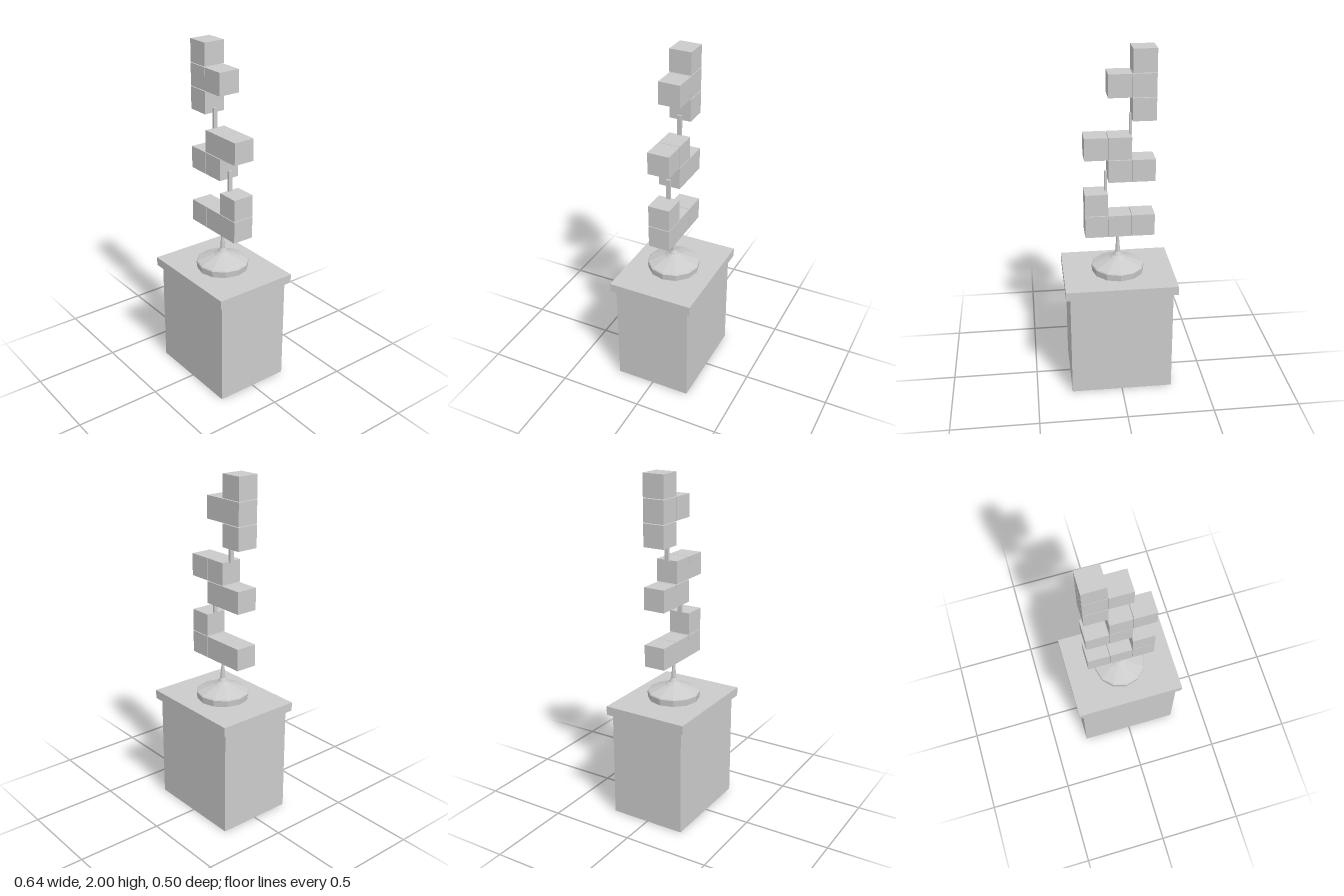
import * as THREE from 'three';

const material = new THREE.MeshStandardMaterial({ color: 0xcccccc });
const flat = new THREE.MeshStandardMaterial({ color: 0xcccccc, flatShading: true });
const openMaterial = new THREE.MeshStandardMaterial({ color: 0xcccccc, side: THREE.DoubleSide });

function addBox(parent, name, [w, h, d], [x, y, z]) {
  const mesh = new THREE.Mesh(new THREE.BoxGeometry(w, h, d), material);
  mesh.name = name;
  mesh.position.set(x, y, z);
  parent.add(mesh);
  return mesh;
}

// Four walls without top or bottom
function openWalls(w, h, d) {
  const geometry = new THREE.BoxGeometry(w, h, d);
  const index = Array.from(geometry.index.array);
  geometry.setIndex([...index.slice(0, 12), ...index.slice(24, 36)]);
  geometry.clearGroups();
  return geometry;
}

export function createModel() {
  const model = new THREE.Group();
  model.name = 'blockTrophy';

  // Hollow pedestal, open underneath, with an overhanging slab
  const pedestal = new THREE.Mesh(openWalls(0.59, 0.632, 0.454), openMaterial);
  pedestal.name = 'pedestal';
  pedestal.position.y = 0.316;
  model.add(pedestal);
  addBox(model, 'pedestalTop', [0.64, 0.052, 0.504], [0, 0.658, 0]);

  // Twelve-sided foot flaring down from a thin tapering stem
  const profile = [
    [0, 0.684], [0.15, 0.684], [0.154, 0.722], [0.15, 0.728],
    [0.052, 0.766], [0.028, 0.783], [0.015, 0.805], [0.009, 0.88], [0.008, 0.935],
  ].map(([r, y]) => new THREE.Vector2(r, y));
  const foot = new THREE.Mesh(new THREE.LatheGeometry(profile, 12), flat);
  foot.name = 'footAndStem';
  model.add(foot);

  // Stacked pieces, each of four cubes: [column, row]
  const pitch = 0.1325;
  const pieces = [
    { name: 'lowerPiece', y: 0.992, cells: [[-1, 0], [0, 0], [1, 0], [1, 1]] },
    { name: 'middlePiece', y: 1.323, cells: [[-1, 0], [0, 0], [0, 1], [1, 1]] },
    { name: 'upperPiece', y: 1.672, cells: [[-1, 0], [-1, 1], [-1, 2], [0, 1]] },
  ];
  for (const { name, y, cells } of pieces) {
    const piece = new THREE.Group();
    piece.name = name;
    for (const [column, row] of cells) {
      addBox(piece, 'cube', [0.13, 0.128, 0.127],
        [-0.007 + column * pitch, y + row * 0.132, 0]);
    }
    model.add(piece);
  }

  // Thin strips joining the pieces
  addBox(model, 'lowerConnector', [0.014, 0.125, 0.025], [0.068, 1.245, 0]);
  addBox(model, 'upperConnector', [0.014, 0.125, 0.025], [-0.071, 1.573, 0]);

  return model;
}
